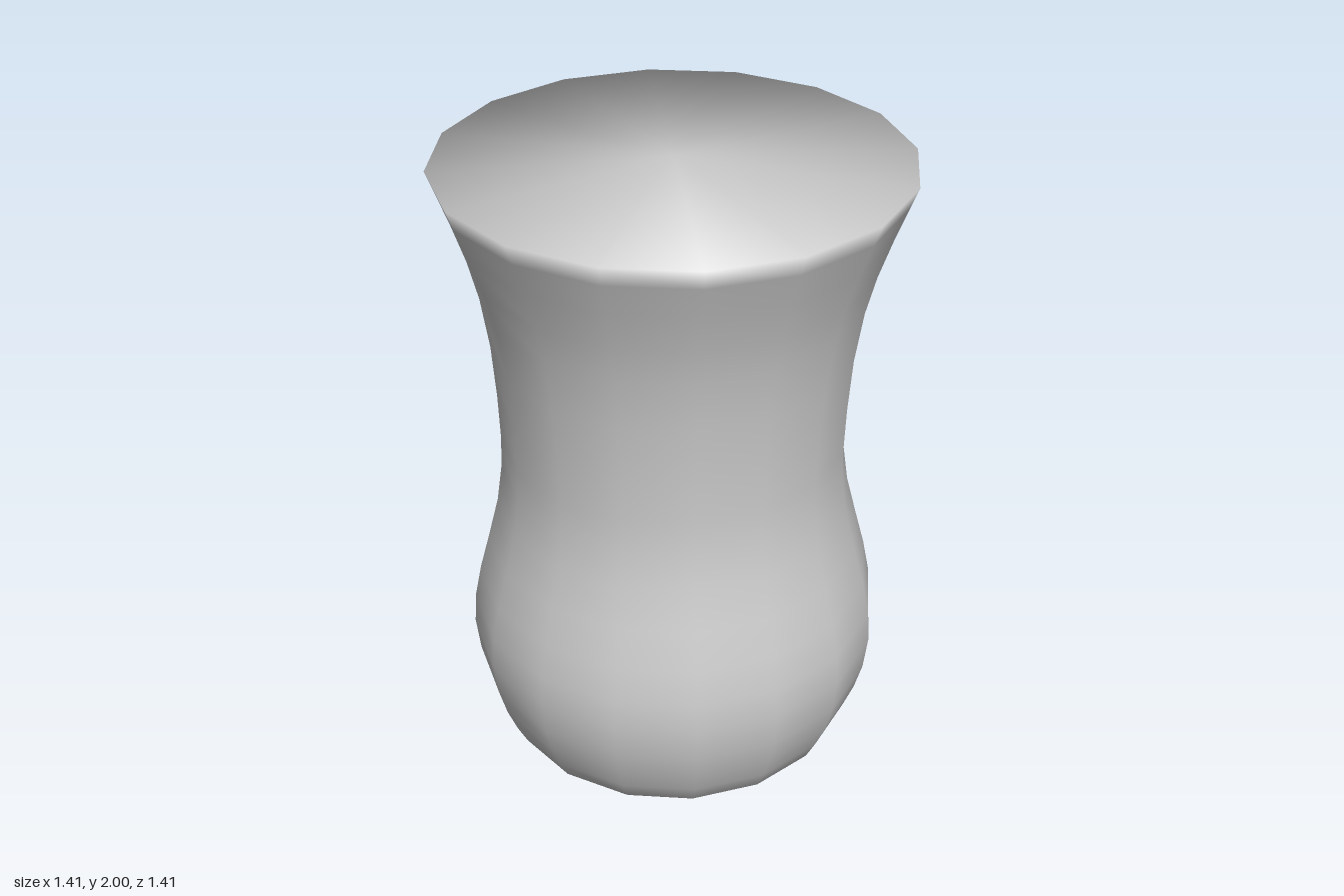
import * as THREE from 'three';

// Half profile of the body: [radius, height], from the bottom pinhole to the middle of the lid
const PROFILE = [
  [0.008, 0], [0.38, 0.014], [0.46, 0.028], [0.51, 0.047], [0.54, 0.075],
  [0.573, 0.14], [0.605, 0.22], [0.63, 0.31], [0.643, 0.42], [0.637, 0.52],
  [0.615, 0.63], [0.583, 0.75], [0.55, 0.88], [0.533, 1.0], [0.529, 1.1],
  [0.534, 1.25], [0.546, 1.42], [0.57, 1.58], [0.6, 1.7], [0.64, 1.82],
  [0.679, 1.925], [0.703, 1.988], [0, 2],
];
const SIDES = 16;

// Smooth normals: each ring averages the directions of the two bands it joins
function profileNormals(points) {
  const bands = points.slice(1).map((p, i) =>
    new THREE.Vector2(p.y - points[i].y, points[i].x - p.x).normalize());
  return points.map((p, i) => {
    if (i === 0) return new THREE.Vector2(0, -1);
    if (i === points.length - 1) return new THREE.Vector2(0, 1);
    return bands[i - 1].clone().add(bands[i]).normalize();
  });
}

export function createModel() {
  const group = new THREE.Group();
  group.name = 'waistedVessel';

  const points = PROFILE.map(([r, y]) => new THREE.Vector2(r, y));
  const geometry = new THREE.LatheGeometry(points, SIDES);

  // Shade bottom, wall and lid as one continuous surface
  const normals = profileNormals(points);
  const attribute = geometry.attributes.normal;
  for (let s = 0; s <= SIDES; s++) {
    const angle = (s / SIDES) * Math.PI * 2;
    normals.forEach((n, j) => attribute.setXYZ(
      s * points.length + j, n.x * Math.sin(angle), n.y, n.x * Math.cos(angle)));
  }

  const body = new THREE.Mesh(geometry, new THREE.MeshStandardMaterial({ color: 0xcccccc }));
  body.name = 'body';
  group.add(body);
  return group;
}
